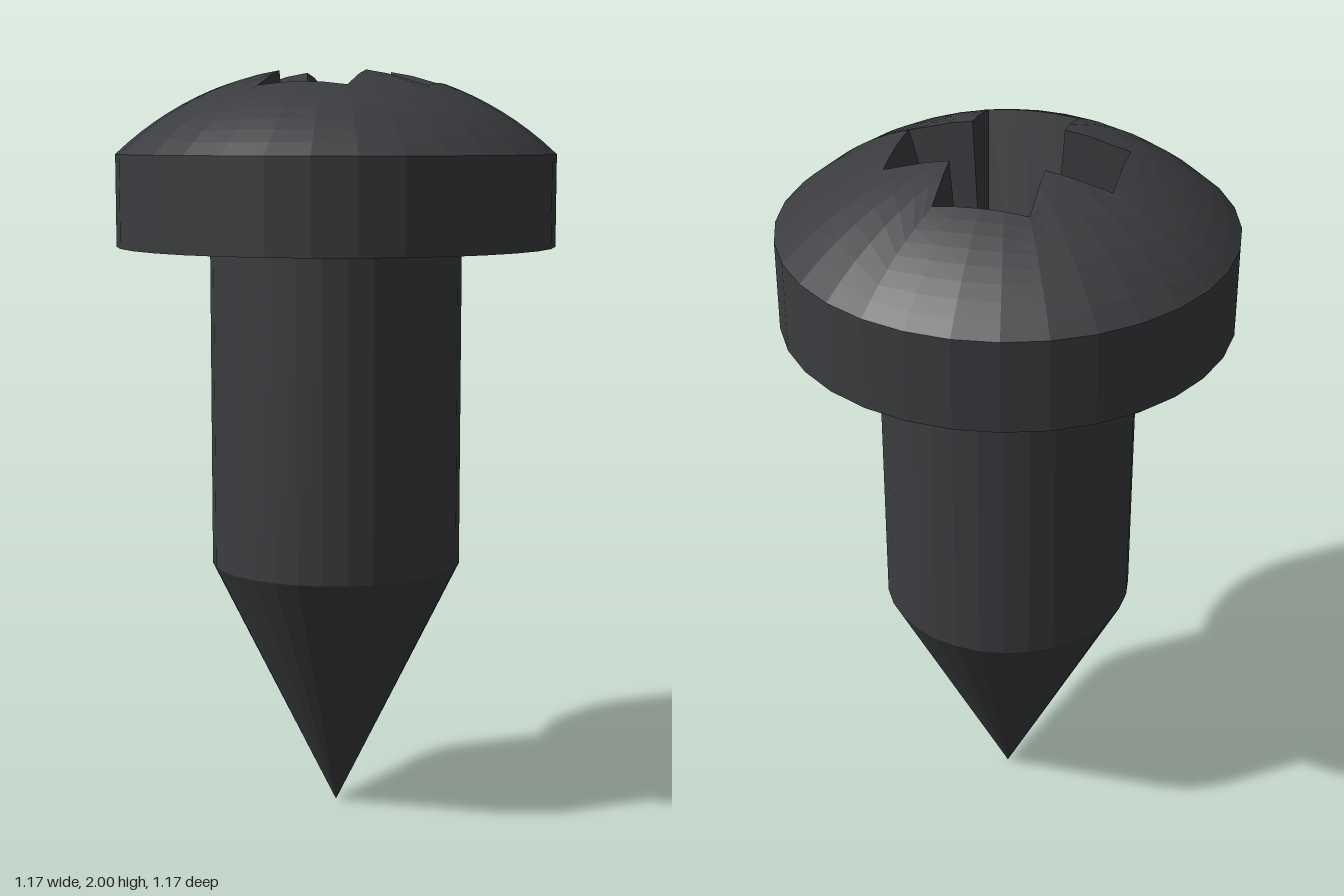
import * as THREE from 'three';

const SEGMENTS = 32;
const HEAD_RADIUS = 0.585, HEAD_BOTTOM = 1.54;
const SHANK_RADIUS = 0.337, SHANK_BOTTOM = 0.68;
const DOME_RADIUS = 0.85;                 // sphere radius of the dome
const ARM = 0.285, HALF = 0.118;          // cross recess at the surface
const FLOOR_ARM = 0.195, FLOOR_HALF = 0.097, FLOOR_Y = 1.66;

// Dome height at distance r from the axis
const domeY = (r) => 2.0 + Math.sqrt(DOME_RADIUS ** 2 - r * r) - Math.sqrt(DOME_RADIUS ** 2 - 0.167 ** 2);

// One closed ring of points; place(angle) returns a Vector3
const ring = (place) =>
  Array.from({ length: SEGMENTS }, (_, i) => place((i / SEGMENTS) * Math.PI * 2));

const circle = (r, y) =>
  ring((a) => new THREE.Vector3(r * Math.cos(a), y, r * Math.sin(a)));

// Point on the outline of the cross recess at the surface
function crossPoint(a) {
  const c = Math.abs(Math.cos(a)), s = Math.abs(Math.sin(a));
  const r = Math.min(ARM / Math.max(c, s), HALF / Math.max(Math.min(c, s), 1e-6));
  return new THREE.Vector3(r * Math.cos(a), domeY(r), r * Math.sin(a));
}

// Same outline moved in to the tapered floor
function taper(v) {
  const move = (d) => {
    const m = Math.abs(d);
    const out = m <= HALF
      ? m * FLOOR_HALF / HALF
      : FLOOR_HALF + (m - HALF) * (FLOOR_ARM - FLOOR_HALF) / (ARM - HALF);
    return Math.sign(d) * out;
  };
  return new THREE.Vector3(move(v.x), FLOOR_Y, move(v.z));
}

// Skin a list of rings, running from the recess outward
function loft(rings) {
  const points = [];
  const triangle = (a, b, c) => {
    const area = b.clone().sub(a).cross(c.clone().sub(a)).length();
    if (area > 1e-9) points.push(a, b, c);
  };
  for (let k = 0; k < rings.length - 1; k++) {
    for (let i = 0; i < SEGMENTS; i++) {
      const j = (i + 1) % SEGMENTS;
      const A = rings[k], B = rings[k + 1];
      triangle(A[i], A[j], B[i]);
      triangle(A[j], B[j], B[i]);
    }
  }
  const geometry = new THREE.BufferGeometry().setFromPoints(points);
  geometry.computeVertexNormals();
  return geometry;
}

export function createModel() {
  const model = new THREE.Group();
  model.name = 'screw';
  const metal = new THREE.MeshStandardMaterial({ color: 0x3a3c3f, flatShading: true });
  const add = (name, geometry, y = 0) => {
    const mesh = new THREE.Mesh(geometry, metal);
    mesh.name = name;
    mesh.position.y = y;
    model.add(mesh);
  };

  // Head: dimple, recess floor, recess walls, dome, rim and underside
  const opening = ring(crossPoint);
  const rings = [
    circle(0, FLOOR_Y - 0.03),
    circle(0.105, FLOOR_Y),
    opening.map(taper),
    opening,
  ];
  const domeSteps = 8;
  for (let k = 1; k <= domeSteps; k++) {
    rings.push(opening.map((p, i) => {
      const a = (i / SEGMENTS) * Math.PI * 2;
      const r = THREE.MathUtils.lerp(Math.hypot(p.x, p.z), HEAD_RADIUS, k / domeSteps);
      return new THREE.Vector3(r * Math.cos(a), domeY(r), r * Math.sin(a));
    }));
  }
  rings.push(circle(HEAD_RADIUS, HEAD_BOTTOM), circle(0, HEAD_BOTTOM));
  add('head', loft(rings));

  // Shank and pointed tip
  const shankLength = HEAD_BOTTOM - SHANK_BOTTOM;
  add('shank',
    new THREE.CylinderGeometry(SHANK_RADIUS, SHANK_RADIUS, shankLength, SEGMENTS, 1, true),
    SHANK_BOTTOM + shankLength / 2);
  add('tip',
    new THREE.CylinderGeometry(SHANK_RADIUS, 0, SHANK_BOTTOM, SEGMENTS, 1, true),
    SHANK_BOTTOM / 2);

  return model;
}
